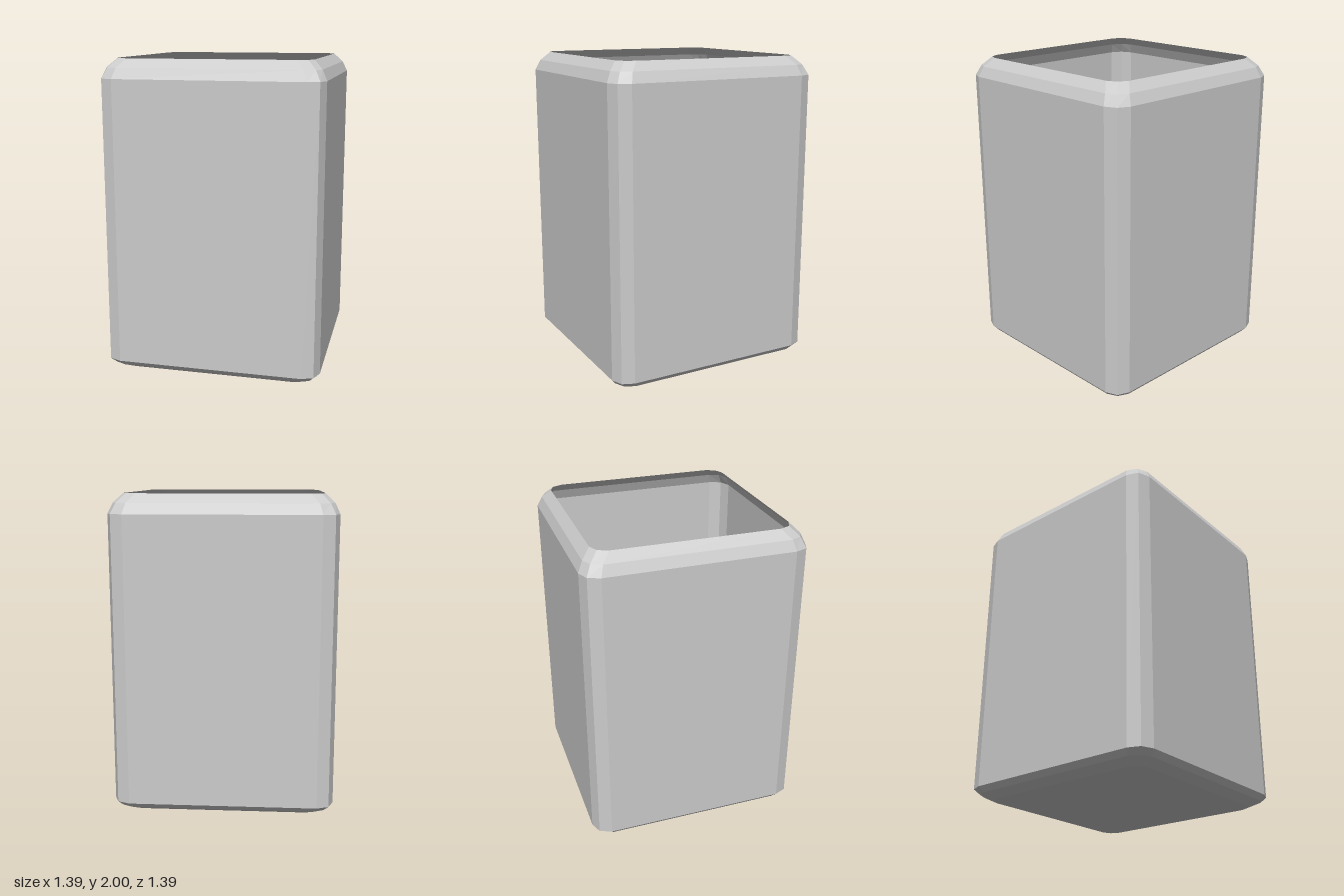
import * as THREE from 'three';

// Square ring with bevelled corners: h = half width, c = corner point, t = end of the straight side
function squareRing(y, h, c, t) {
  const points = [];
  for (let k = 0; k < 4; k++) {
    const cos = Math.round(Math.cos(k * Math.PI / 2));
    const sin = Math.round(Math.sin(k * Math.PI / 2));
    for (const [x, z] of [[h, t], [c, c], [t, h]]) {
      points.push([x * cos - z * sin, y, x * sin + z * cos]);
    }
  }
  return points;
}

// Joins the rings with quads and closes the lowest one
function loftShell(rings) {
  const n = rings[0].length;
  const index = [];
  for (let i = 0; i < rings.length - 1; i++) {
    for (let j = 0; j < n; j++) {
      const a = i * n + j, b = i * n + (j + 1) % n;
      index.push(a, a + n, b, b, a + n, b + n);
    }
  }
  for (let j = 1; j < n - 1; j++) index.push(0, j, j + 1);

  const indexed = new THREE.BufferGeometry();
  indexed.setAttribute('position', new THREE.Float32BufferAttribute(rings.flat(2), 3));
  indexed.setIndex(index);
  const geometry = indexed.toNonIndexed();
  geometry.computeVertexNormals();
  return geometry;
}

export function createModel() {
  const group = new THREE.Group();
  group.name = 'squareCup';

  const material = new THREE.MeshStandardMaterial({
    color: 0xcccccc, flatShading: true, side: THREE.DoubleSide,
  });

  // Thin open container: bevelled base, straight walls, rim curling inwards
  const rings = [
    squareRing(0, 0.6, 0.575, 0.52),
    squareRing(0.035, 0.665, 0.635, 0.57),
    squareRing(0.07, 0.695, 0.665, 0.59),
    squareRing(1.88, 0.695, 0.665, 0.59),
    squareRing(1.945, 0.665, 0.635, 0.57),
    squareRing(2, 0.61, 0.583, 0.52),
  ];
  const shell = new THREE.Mesh(loftShell(rings), material);
  shell.name = 'containerShell';
  group.add(shell);

  return group;
}
